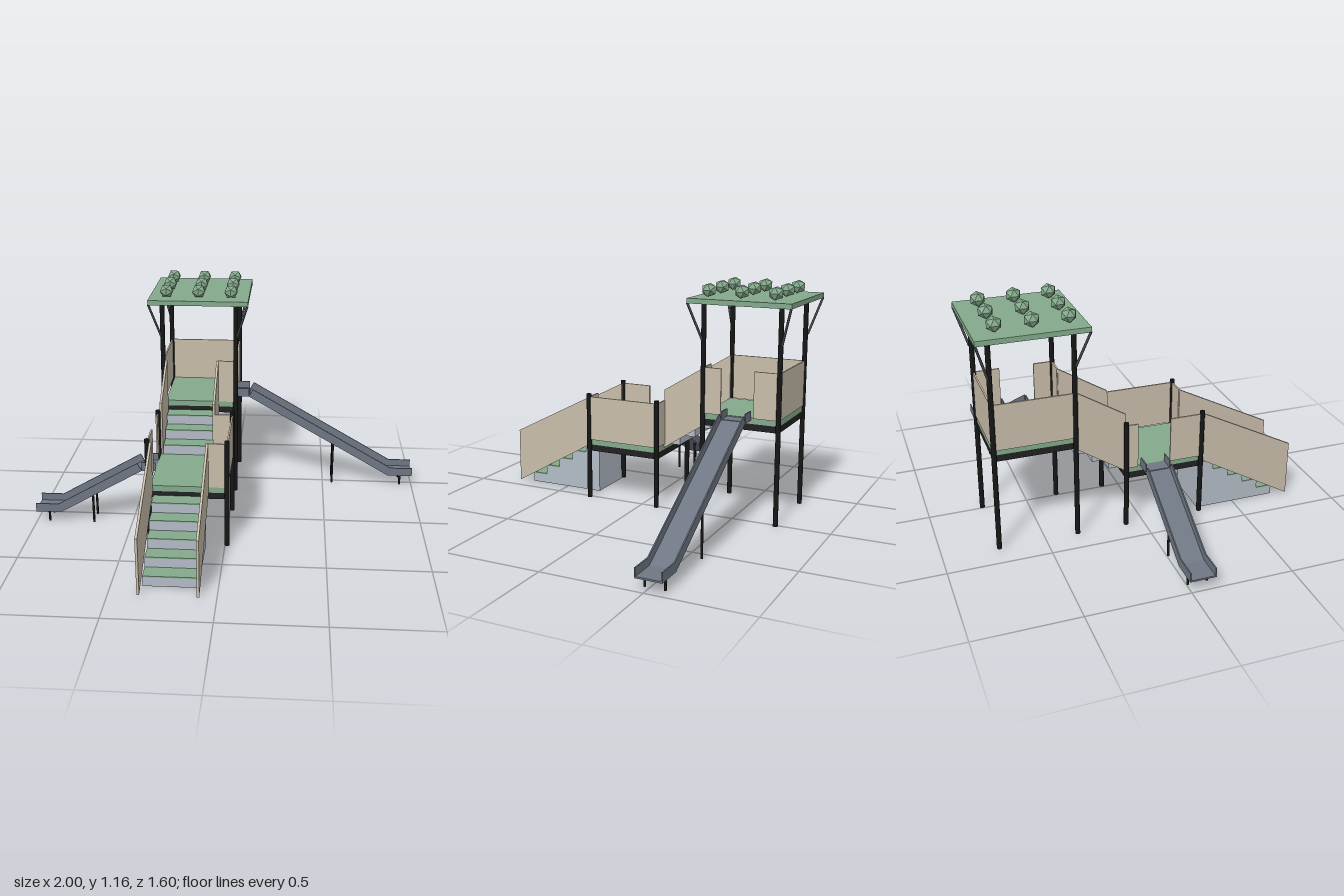
import * as THREE from 'three';

const mat = (name, color, flatShading = false) => {
  const m = new THREE.MeshStandardMaterial({ color, flatShading });
  m.name = name;
  return m;
};

export function createModel() {
  const model = new THREE.Group();
  model.name = 'playground';
  const green = mat('green', 0x84aa8c);
  const bumpGreen = mat('bump green', 0x84aa8c, true);
  const tan = mat('tan', 0xc8bdaa);
  const stone = mat('pale grey', 0xb3bcc6);
  const slate = mat('slate', 0x6f7784);
  const black = mat('black', 0x161616);
  const dark = mat('deck black', 0x212121);
  const steel = mat('dark steel', 0x43474c);

  const add = (parent, name, geo, material) => {
    const mesh = new THREE.Mesh(geo, material);
    mesh.name = name;
    parent.add(mesh);
    return mesh;
  };
  // box given by its minimum and maximum corners
  const box = (parent, name, material, [x0, y0, z0], [x1, y1, z1]) => {
    const geo = new THREE.BoxGeometry(Math.abs(x1 - x0), Math.abs(y1 - y0), Math.abs(z1 - z0));
    geo.translate((x0 + x1) / 2, (y0 + y1) / 2, (z0 + z1) / 2);
    return add(parent, name, geo, material);
  };
  // round bar between two points
  const bar = (parent, name, material, a, b, r) => {
    const p = new THREE.Vector3(...a), q = new THREE.Vector3(...b);
    const d = q.clone().sub(p);
    const m = add(parent, name, new THREE.CylinderGeometry(r, r, d.length(), 12), material);
    m.position.copy(p).add(q).multiplyScalar(0.5);
    m.quaternion.setFromUnitVectors(new THREE.Vector3(0, 1, 0), d.normalize());
    return m;
  };

  const XL = -0.377, XR = 0.011, XC = -0.183;   // post lines and tower centre
  const STAIR_L = -0.361, STAIR_R = -0.086;     // stair side panels
  const T = 0.004;                              // half panel thickness

  // Platforms: posts, dark frame, green floor
  const platform = (name, zFront, zBack, top, postTop) => {
    const g = new THREE.Group();
    g.name = name;
    model.add(g);
    for (const x of [XL, XR])
      for (const z of [zFront, zBack]) bar(g, 'post', black, [x, 0, z], [x, postTop, z], 0.0125);
    box(g, 'deckFrame', dark, [-0.367, top - 0.063, zBack], [0.002, top - 0.03, zFront]);
    box(g, 'deckFloor', green, [-0.367, top - 0.03, zBack], [0.002, top, zFront]);
    return g;
  };
  const sidePanel = (g, x, y, z0, z1) => box(g, 'sidePanel', tan, [x - T, y, z0], [x + T, y + 0.23, z1]);
  const crossPanel = (g, z, y, x0, x1) => box(g, 'crossPanel', tan, [x0, y, z - T], [x1, y + 0.23, z + T]);

  const F1 = 0.303, B1 = -0.087, Y1 = 0.315;
  const lower = platform('lowerPlatform', F1, B1, Y1, 0.56);
  sidePanel(lower, XR, Y1, B1, F1);
  sidePanel(lower, XL, Y1, B1, -0.028);
  sidePanel(lower, XL, Y1, 0.138, F1);
  crossPanel(lower, F1, Y1, STAIR_R, XR);
  crossPanel(lower, B1, Y1, STAIR_R, XR);

  const F2 = -0.338, B2 = -0.728, Y2 = 0.525;
  const upper = platform('upperPlatform', F2, B2, Y2, 1.07);
  sidePanel(upper, XL, Y2, B2, F2);
  sidePanel(upper, XR, Y2, -0.433, F2);
  sidePanel(upper, XR, Y2, B2, -0.602);
  crossPanel(upper, B2, Y2, XL, XR);
  crossPanel(upper, F2, Y2, STAIR_R, XR);

  // Roof with corner struts and faceted bumps
  const roof = new THREE.Group();
  roof.name = 'roof';
  model.add(roof);
  const RZ = -0.535;
  box(roof, 'roofPlate', green, [XC - 0.261, 1.07, RZ - 0.261], [XC + 0.261, 1.095, RZ + 0.261]);
  for (const sx of [-1, 1])
    for (const sz of [-1, 1])
      bar(roof, 'roofStrut', steel, [XC + sx * 0.202, 0.89, RZ + sz * 0.202],
        [XC + sx * 0.258, 1.072, RZ + sz * 0.258], 0.006);
  for (let i = -1; i <= 1; i++)
    for (let j = -1; j <= 1; j++) {
      const b = add(roof, 'roofBump', new THREE.IcosahedronGeometry(0.039, 0), bumpGreen);
      b.scale.y = 0.93;
      b.position.set(XC + i * 0.169, 1.129, -0.521 + j * 0.169);
    }

  // Stairs: solid lower flight, open-backed upper flight
  const RISE = 0.0525, RUN = 0.0835;
  const stairs = (name, count, zStart, yStart, solid) => {
    const g = new THREE.Group();
    g.name = name;
    model.add(g);
    for (let i = 0; i < count; i++) {
      const z = zStart - i * RUN, top = yStart + (i + 1) * RISE;
      const bottom = solid ? 0 : top - RISE;
      box(g, 'step', stone, [-0.352, bottom, z - RUN], [-0.094, top - 0.006, z]);
      box(g, 'tread', green, [-0.352, top - 0.006, z - RUN], [-0.094, top, z]);
    }
    return g;
  };
  // slanted panels on both sides, outline in (z, y)
  const stairPanels = (g, outline) => {
    const shape = new THREE.Shape(outline.map(([z, y]) => new THREE.Vector2(z, y)));
    for (const x of [STAIR_L, STAIR_R]) {
      const geo = new THREE.ExtrudeGeometry(shape, { depth: 0.012, bevelEnabled: false });
      geo.translate(0, 0, -0.006);
      geo.rotateY(-Math.PI / 2);
      add(g, 'stairPanel', geo, tan).position.x = x;
    }
  };
  const flight1 = stairs('lowerStairs', 5, 0.72, 0, true);
  stairPanels(flight1, [[0.8, 0], [0.8, 0.287], [F1, 0.545], [F1, 0.287]]);
  const flight2 = stairs('upperStairs', 3, -0.086, Y1, false);
  stairPanels(flight2, [[B1, 0.295], [B1, 0.6], [F2, 0.755], [F2, 0.46]]);

  // Slides: trough sections running outward along local +x
  const H = 0.046, W = 0.064;
  const trough = (g, name, x, y, length, angle) => {
    const s = new THREE.Group();
    s.name = name;
    s.position.set(x, y, 0);
    s.rotation.z = -angle;
    g.add(s);
    box(s, 'bed', slate, [0, 0, -W], [length, 0.008, W]);
    for (const k of [-1, 1])
      box(s, 'rail', slate, [0, 0, k > 0 ? W - 0.006 : -W], [length, H, k > 0 ? W : 0.006 - W]);
  };
  const slide = (name, x, z, flip, flat, startY, legX, legTop) => {
    const g = new THREE.Group();
    g.name = name;
    g.position.set(x, 0, z);
    if (flip) g.rotation.y = Math.PI;
    model.add(g);
    const end = 1 - Math.abs(x), endY = 0.058, a = Math.PI / 6;
    const length = (startY - endY) / Math.sin(a);
    const foot = flat + length * Math.cos(a);
    trough(g, 'slideEntry', 0, startY, flat, 0);
    trough(g, 'slideChute', flat, startY, length, a);
    trough(g, 'slideExit', foot, endY, end - foot, 0);
    for (const k of [-0.047, 0.047]) {
      bar(g, 'slideLeg', black, [legX, 0, k], [legX, legTop, k], 0.006);
      bar(g, 'slideLeg', black, [end - 0.066, 0, k], [end - 0.066, endY + 0.002, k], 0.006);
    }
  };
  slide('longSlide', 0.002, -0.522, false, 0.075, 0.513, 0.55, 0.242);
  slide('shortSlide', -0.367, 0.054, true, 0.071, 0.307, 0.333, 0.157);

  return model;
}
